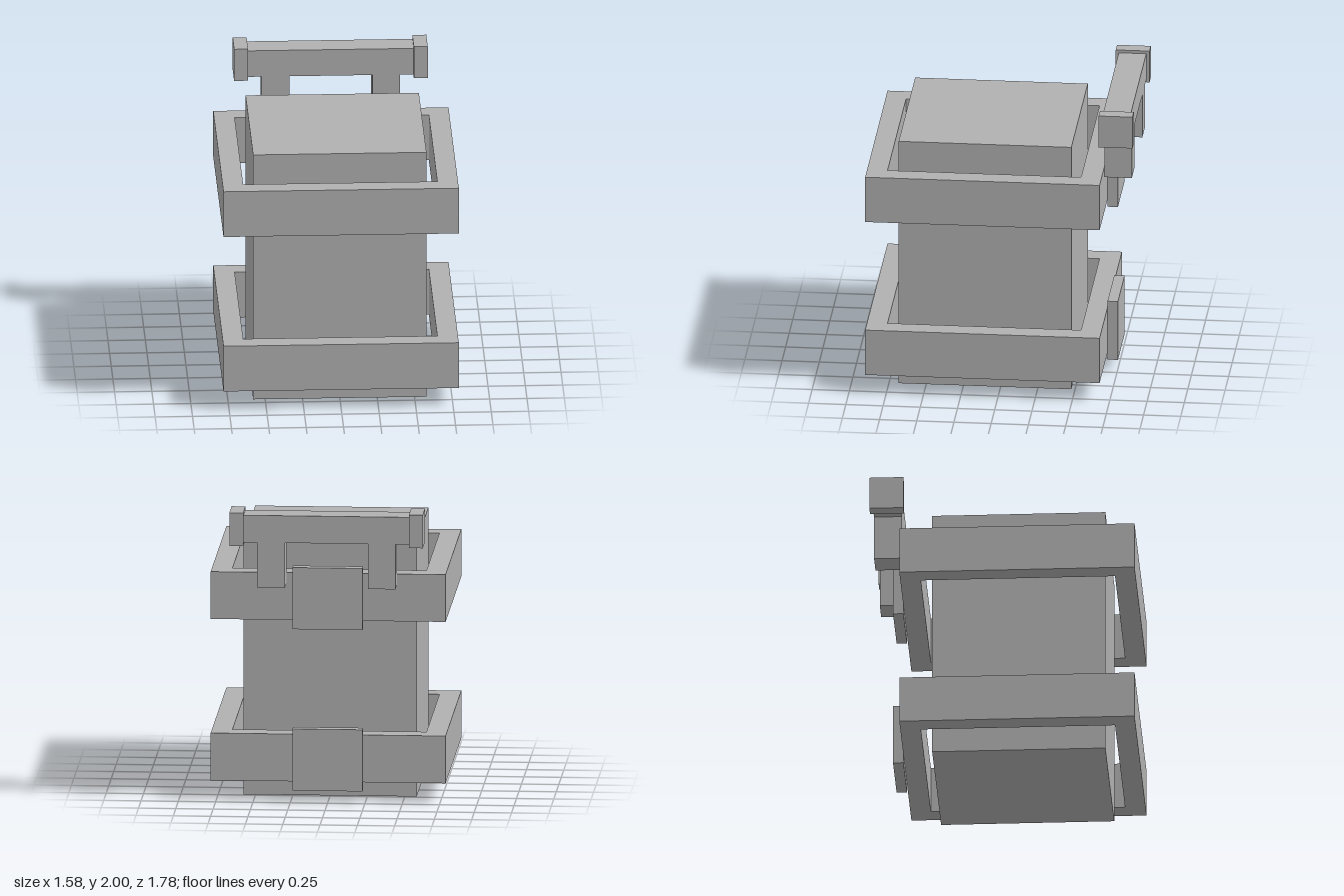
import * as THREE from 'three';

export function createModel() {
  const model = new THREE.Group();
  const grey = new THREE.MeshStandardMaterial({ color: 0xb0b0b0 });
  grey.name = 'grey';

  function add(name, geometry) {
    const mesh = new THREE.Mesh(geometry, grey);
    mesh.name = name;
    model.add(mesh);
    return mesh;
  }

  // Box given by its limits on each axis
  function box(name, [x0, x1], [y0, y1], [z0, z1]) {
    add(name, new THREE.BoxGeometry(x1 - x0, y1 - y0, z1 - z0))
      .position.set((x0 + x1) / 2, (y0 + y1) / 2, (z0 + z1) / 2);
  }

  function rectangle(Type, w, d) {
    const path = new Type();
    path.moveTo(-w / 2, -d / 2);
    path.lineTo(w / 2, -d / 2);
    path.lineTo(w / 2, d / 2);
    path.lineTo(-w / 2, d / 2);
    path.closePath();
    return path;
  }

  // Square central block
  box('core', [-0.58, 0.58], [0, 1.74], [-0.475, 0.685]);

  // Two open square frames, each with a mounting plate on its back
  const frameShape = rectangle(THREE.Shape, 1.575, 1.575);
  frameShape.holes.push(rectangle(THREE.Path, 1.3, 1.3));
  for (const [label, y] of [['lower', 0.295], ['upper', 1.395]]) {
    const height = 0.322;
    const geometry = new THREE.ExtrudeGeometry(frameShape, { depth: height, bevelEnabled: false });
    geometry.rotateX(-Math.PI / 2);
    add(label + 'Frame', geometry).position.set(0, y - height / 2, 0.103);
    box(label + 'BackPlate', [-0.235, 0.235], [y - 0.21, y + 0.21], [-0.755, -0.685]);
  }

  // Handle: crossbar, two legs and two end caps
  box('handleBar', [-0.557, 0.557], [1.795, 1.98], [-0.87, -0.685]);
  for (const [label, s] of [['left', 1], ['right', -1]]) {
    const span = (a, b) => (s > 0 ? [a, b] : [-b, -a]);
    box(label + 'HandleLeg', span(0.278, 0.463), [1.488, 1.795], [-0.87, -0.685]);
    box(label + 'HandleCap', span(0.555, 0.648), [1.775, 2], [-0.892, -0.665]);
  }

  return model;
}
